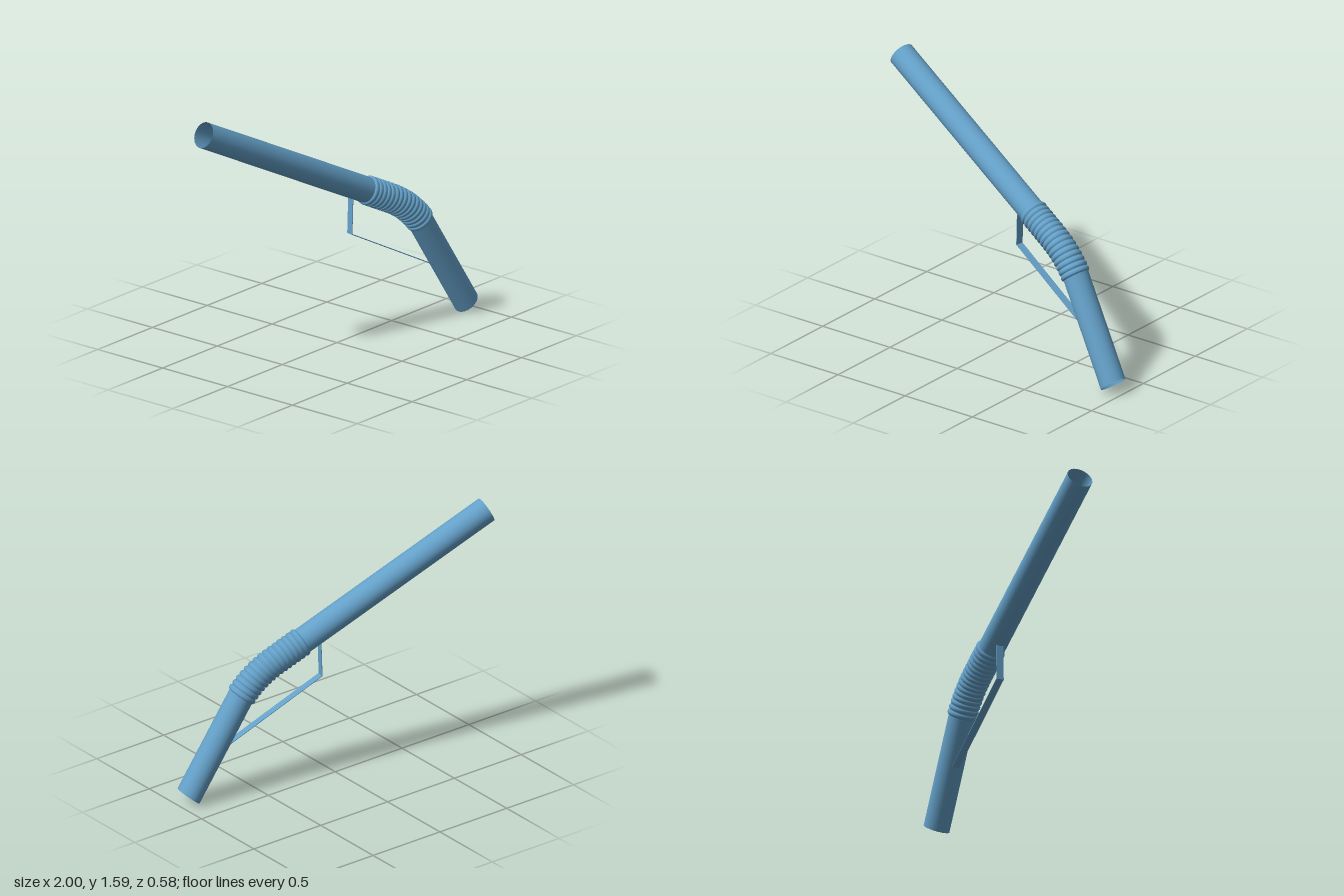
import * as THREE from 'three';

const TURN = Math.atan(0.221); // heading of the straw's vertical plane
const R = 0.079;
const SIDES = 40;
const UPPER = 0.466;           // downward tilt of the upper cross-sections
const LOWER = 0.89;            // downward tilt of the lower cross-sections

// Front-on x, y to a point in the straw's own plane
const at = (x, y) => new THREE.Vector2(x / Math.cos(TURN), y);

// Skin through circular sections { p, tilt, r }
function loft(sections, material, name) {
  const pos = [], index = [];
  sections.forEach(({ p, tilt, r }, i) => {
    for (let j = 0; j < SIDES; j++) {
      const a = (j / SIDES) * Math.PI * 2, c = r * Math.cos(a);
      pos.push(p.x + c * Math.sin(tilt), p.y + c * Math.cos(tilt), r * Math.sin(a));
      if (i === sections.length - 1) continue;
      const k = i * SIDES, n = (j + 1) % SIDES;
      index.push(k + j, k + n, k + SIDES + j, k + n, k + SIDES + n, k + SIDES + j);
    }
  });
  const geo = new THREE.BufferGeometry();
  geo.setAttribute('position', new THREE.Float32BufferAttribute(pos, 3));
  geo.setIndex(index);
  geo.computeVertexNormals();
  const mesh = new THREE.Mesh(geo, material);
  mesh.name = name;
  return mesh;
}

// Thin flat bar between two points of the plane
function bar(a, b, material, name) {
  const d = b.clone().sub(a);
  const mesh = new THREE.Mesh(new THREE.BoxGeometry(d.length() + 0.004, 0.004, 0.046), material);
  mesh.position.set((a.x + b.x) / 2, (a.y + b.y) / 2, 0);
  mesh.rotation.z = d.angle();
  mesh.name = name;
  return mesh;
}

export function createModel() {
  const group = new THREE.Group();
  group.name = 'bendyStraw';
  const straw = new THREE.Group();
  straw.name = 'straw';
  straw.rotation.y = -TURN;
  group.add(straw);
  const material = new THREE.MeshStandardMaterial({ color: 0x64a0c8, side: THREE.DoubleSide });

  // Bend path: short straight run, then the elbow
  const start = at(0.21, 0.91), bendStart = at(0.38, 0.822), end = at(0.602, 0.632);
  const path = new THREE.CurvePath();
  path.add(new THREE.LineCurve(start, bendStart));
  path.add(new THREE.QuadraticBezierCurve(bendStart, at(0.52, 0.75), end));

  // Open tubes
  straw.add(loft([
    { p: at(-0.965, 1.515), tilt: UPPER, r: R },
    { p: start, tilt: UPPER, r: R },
  ], material, 'upperTube'));
  straw.add(loft([
    { p: end, tilt: LOWER, r: R },
    { p: at(0.935, 0.05), tilt: LOWER, r: R },
  ], material, 'lowerTube'));

  // Ribbed flexible section
  const ribs = 15, steps = 8, sections = [];
  for (let i = 0; i <= ribs * steps; i++) {
    const u = i / (ribs * steps);
    const swell = Math.sqrt(Math.abs(Math.sin((i / steps) * Math.PI)));
    sections.push({
      p: path.getPoint(u),
      tilt: THREE.MathUtils.lerp(UPPER, LOWER, THREE.MathUtils.smoothstep(u, 0.2, 1)),
      r: R + 0.011 * swell,
    });
  }
  straw.add(loft(sections, material, 'bellows'));

  // Flat strip bracket under the bend
  const corner = at(0.093, 0.662);
  straw.add(bar(at(0.1, 0.888), corner, material, 'bracketDrop'));
  straw.add(bar(corner, at(0.69, 0.338), material, 'bracketBrace'));
  return group;
}
